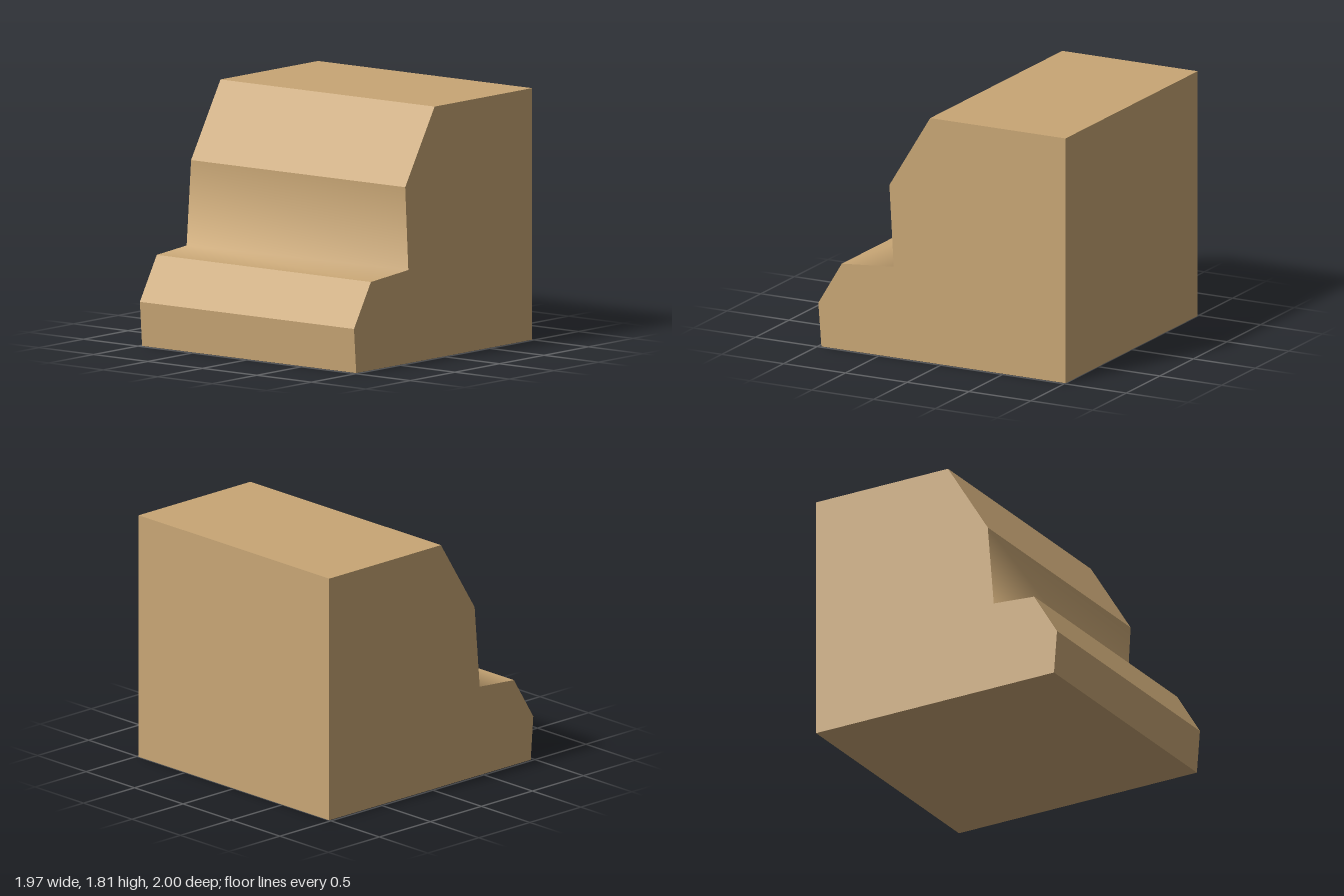
import * as THREE from 'three';
import { mergeGeometries } from 'three/addons/utils/BufferGeometryUtils.js';

const HALF_WIDTH = 0.983;

// Side outline as [z, y]; only the inner corner differs between the two ends
const outline = (innerCorner) => [
  [-1, 0], [-1, 1.81], [0.095, 1.81], [0.425, 1.27],
  innerCorner, [0.81, 0.635], [1, 0.32], [0.975, 0],
];
const leftEnd = outline([0.39, 0.67]);
const rightEnd = outline([0.475, 0.662]);

// Strip of faces spanning the width; normals are smooth within one strip
function strip(indices) {
  const positions = [], faces = [];
  indices.forEach((p, i) => {
    const [rz, ry] = rightEnd[p], [lz, ly] = leftEnd[p];
    positions.push(-HALF_WIDTH, ry, rz, HALF_WIDTH, ly, lz);
    if (i > 0) {
      const a = 2 * (i - 1);
      faces.push(a, a + 2, a + 3, a, a + 3, a + 1);
    }
  });
  const geometry = new THREE.BufferGeometry();
  geometry.setAttribute('position', new THREE.Float32BufferAttribute(positions, 3));
  geometry.setIndex(faces);
  geometry.computeVertexNormals();
  return geometry;
}

// Flat end cap on the side given by sign
function cap(points, sign) {
  const shape = new THREE.Shape(points.map(([z, y]) => new THREE.Vector2(-sign * z, y)));
  const geometry = new THREE.ShapeGeometry(shape);
  geometry.rotateY(sign * Math.PI / 2);
  geometry.translate(sign * HALF_WIDTH, 0, 0);
  return geometry;
}

export function createModel() {
  const group = new THREE.Group();
  group.name = 'steppedBlock';
  const tan = new THREE.MeshStandardMaterial({ color: 0xc8a675 });
  tan.name = 'tan';

  const add = (name, geometry) => {
    const mesh = new THREE.Mesh(geometry, tan);
    mesh.name = name;
    group.add(mesh);
  };

  // Crisp faces: back, top, upper slope, lower slope, front, underside
  const flat = [[0, 1], [1, 2], [2, 3], [5, 6], [6, 7], [7, 0]];
  add('blockFaces', mergeGeometries(flat.map(strip)));

  // Upright wall and ledge, blended across the inner corner
  add('wallAndLedge', strip([3, 4, 5]));

  add('leftSide', cap(leftEnd, 1));
  add('rightSide', cap(rightEnd, -1));
  return group;
}
